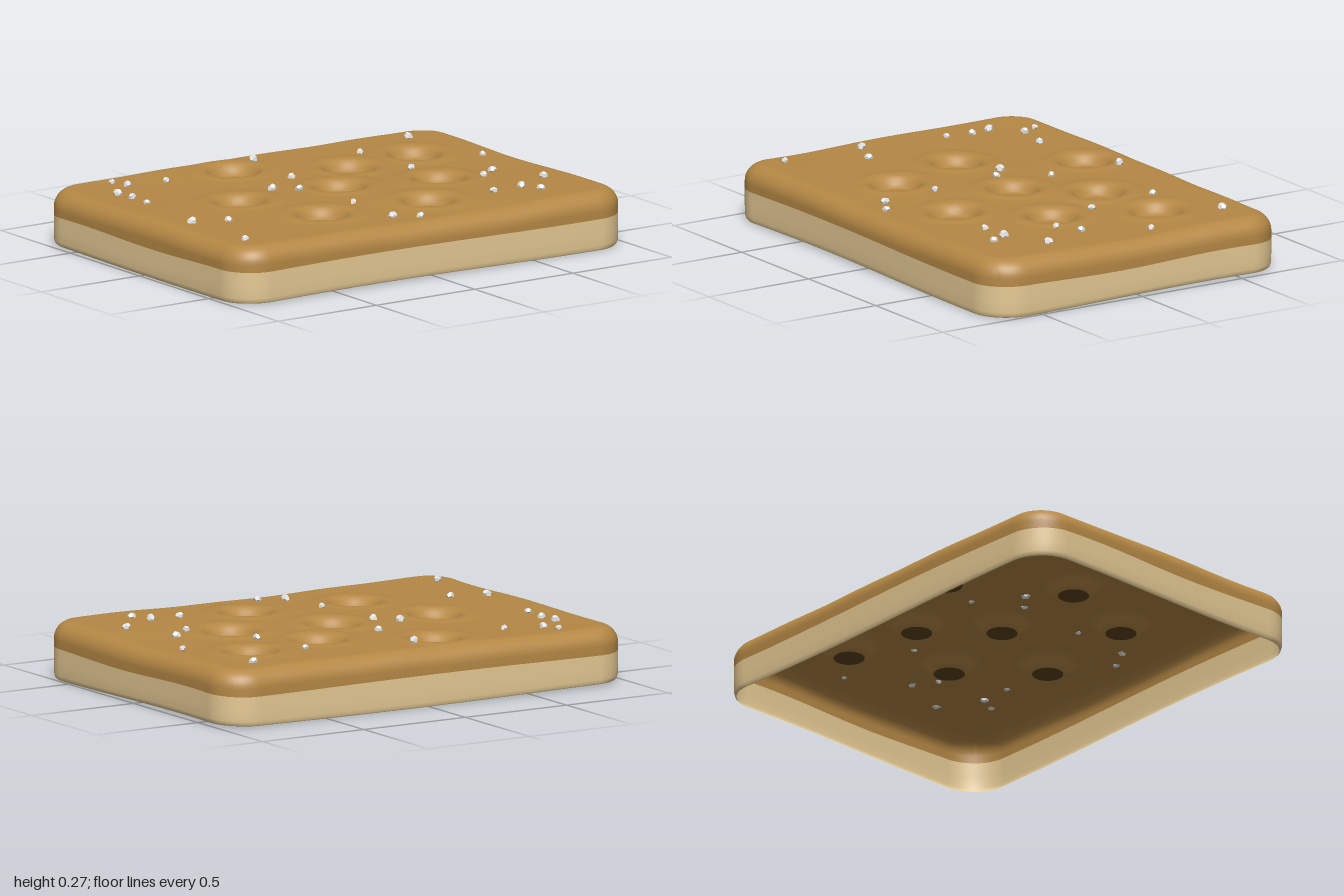
import * as THREE from 'three';

const W = 0.995, D = 0.73;        // half width and half depth
const CORNER = 0.16, ROUND = 0.075; // plan corner radius, top edge radius
const NX = 200, NZ = 148;
const DISC = 0.065, DEPTH = 0.045; // dimple floor radius and depth

const dimples = [
  [-0.165, -0.495], [0.265, -0.28], [0.63, -0.33], [-0.455, -0.04],
  [0.025, -0.01], [0.46, 0.085], [-0.32, 0.355], [0.185, 0.395],
];
const saltSpots = [
  [-0.71, -0.61], [-0.68, -0.54], [-0.51, -0.5], [-0.8, -0.44], [-0.79, -0.35], [-0.8, -0.23],
  [-0.02, -0.57], [-0.05, -0.25], [-0.24, -0.12], [-0.155, -0.045], [0.43, -0.435], [0.765, -0.56],
  [0.46, -0.11], [0.85, -0.145], [0.715, 0.115], [0.625, 0.18], [-0.85, 0.165], [-0.705, 0.225],
  [-0.115, 0.29], [0.815, 0.345], [0.49, 0.445], [0.63, 0.445], [0.675, 0.525], [-0.85, 0.55],
  [-0.1, 0.55], [0, 0.61],
];

const clamp = THREE.MathUtils.clamp;
const smooth = THREE.MathUtils.smoothstep;

// Gently uneven baked surface
const wave = (x, z) => 0.24
  + 0.004 * Math.sin(4.3 * x + 1.2) * Math.cos(3.1 * z + 0.4)
  + 0.003 * Math.sin(7 * z - 2 * x) + 0.0012 * Math.sin(13 * x + 9 * z);

function topHeight(x, z) {
  let y = wave(x, z);
  for (const [cx, cz] of dimples) {
    const r = Math.hypot(x - cx, z - cz);
    if (r > 0.3) continue;
    y -= DEPTH * (1 - smooth(r, DISC - 0.003, 0.125));
    y += 0.005 * Math.exp(-(((r - 0.155) / 0.03) ** 2));
  }
  return y;
}

// Slightly wobbly outline
const wobble = (x, z) => [x + 0.005 * Math.sin(4 * z), z - 0.007 * Math.cos(2.9 * (x + 0.5))];

// Square grid point -> point of a rounded slab with a rolled-over edge
function slabPoint(u, v) {
  let x = u * W, z = v * D, drop = 0;
  const qx = clamp(x, CORNER - W, W - CORNER), qz = clamp(z, CORNER - D, D - CORNER);
  let dx = x - qx, dz = z - qz;
  if (dx || dz) {
    const len = Math.max(Math.abs(dx), Math.abs(dz));
    const k = len / Math.hypot(dx, dz);
    dx *= k; dz *= k;
    const edge = CORNER - len;
    let reach = len;
    if (edge < ROUND) {
      const a = edge / ROUND * Math.PI / 2;
      reach = CORNER - ROUND * (1 - Math.cos(a));
      drop = ROUND * (1 - Math.sin(a));
    }
    x = qx + dx * reach / len;
    z = qz + dz * reach / len;
  }
  // pull nearby points onto each dimple's floor circle
  for (const [cx, cz] of dimples) {
    const r = Math.hypot(x - cx, z - cz);
    if (Math.abs(r - DISC) < 0.005) {
      x = cx + (x - cx) * DISC / r;
      z = cz + (z - cz) * DISC / r;
    }
  }
  const y = topHeight(x, z) - drop;
  const [wx, wz] = wobble(x, z);
  return [wx, y, wz];
}

function surface(positions, index) {
  const g = new THREE.BufferGeometry();
  g.setAttribute('position', new THREE.Float32BufferAttribute(positions, 3));
  g.setIndex(index);
  g.computeVertexNormals();
  return g;
}

// Joins two closed loops, given by vertex indices, upper first
function band(index, upper, lower) {
  const n = upper.length;
  for (let k = 0; k < n; k++) {
    const m = (k + 1) % n;
    index.push(upper[k], lower[k], upper[m], upper[m], lower[k], lower[m]);
  }
}

export function createModel() {
  const model = new THREE.Group();
  const crust = new THREE.MeshStandardMaterial({ color: 0xb58845, side: THREE.DoubleSide });
  crust.name = 'golden crust';
  const dough = new THREE.MeshStandardMaterial({ color: 0xe6ca94, side: THREE.DoubleSide });
  dough.name = 'pale dough';
  const toasted = new THREE.MeshStandardMaterial({ color: 0x5c4219 });
  toasted.name = 'dark toasted';
  const white = new THREE.MeshStandardMaterial({ color: 0xececec, flatShading: true });
  white.name = 'salt white';

  const add = (name, geometry, material, parent = model) => {
    const mesh = new THREE.Mesh(geometry, material);
    mesh.name = name;
    parent.add(mesh);
    return mesh;
  };

  // Crust: top grid with dimples
  const pos = [], idx = [];
  const id = (i, j) => j * (NX + 1) + i;
  for (let j = 0; j <= NZ; j++)
    for (let i = 0; i <= NX; i++) pos.push(...slabPoint(2 * i / NX - 1, 2 * j / NZ - 1));
  for (let j = 0; j < NZ; j++)
    for (let i = 0; i < NX; i++) {
      const a = id(i, j), b = id(i + 1, j), c = id(i, j + 1), d = id(i + 1, j + 1);
      idx.push(a, c, b, b, c, d);
    }

  // Rim loop around the grid, then the crust's side band
  const rim = [];
  for (let i = 0; i < NX; i++) rim.push(id(i, NZ));
  for (let j = NZ; j > 0; j--) rim.push(id(NX, j));
  for (let i = NX; i > 0; i--) rim.push(id(i, 0));
  for (let j = 0; j < NZ; j++) rim.push(id(0, j));
  const outline = rim.map((k) => [pos[3 * k], pos[3 * k + 2]]);
  const seamY = (x, z) => 0.135 + 0.004 * Math.sin(3 * x + 2.2) - 0.005 * Math.cos(6 * (z - 0.1));
  const first = pos.length / 3;
  for (const [x, z] of outline) pos.push(x, seamY(x, z), z);
  band(idx, rim, rim.map((_, k) => first + k));
  add('crust', surface(pos, idx), crust);

  // Pale side wall, open underneath and tucked in a little at the foot
  const wallPos = [], wallIdx = [], n = outline.length;
  const rows = [[1, 1], [0.5, 1], [0.16, 0.999], [0.04, 0.995], [0, 0.99]];
  rows.forEach(([t, inset], row) => {
    for (const [x, z] of outline) {
      const foot = 0.005 + 0.005 * Math.sin(2.5 * x + 3 * z);
      wallPos.push(x * inset, foot + (seamY(x, z) - foot) * t, z * inset);
    }
    if (row) band(wallIdx, outline.map((_, k) => (row - 1) * n + k), outline.map((_, k) => row * n + k));
  });
  add('sideWall', surface(wallPos, wallIdx), dough);

  // Dimple floors, with a dark underside
  const floorGeo = new THREE.CircleGeometry(DISC - 0.001, 32).rotateX(-Math.PI / 2);
  const underGeo = new THREE.CircleGeometry(DISC, 32).rotateX(Math.PI / 2);
  for (const [cx, cz] of dimples) {
    const [x, z] = wobble(cx, cz);
    const y = topHeight(cx, cz);
    add('dimpleFloor', floorGeo, crust).position.set(x, y + 0.003, z);
    add('dimpleUnderside', underGeo, toasted).position.set(x, y - 0.004, z);
  }

  // Salt grains
  const salt = new THREE.Group();
  salt.name = 'salt';
  model.add(salt);
  const grain = new THREE.DodecahedronGeometry(1, 0);
  saltSpots.forEach(([x, z], k) => {
    const s = 0.014 + 0.007 * ((k * 0.618) % 1);
    const mesh = add('saltGrain', grain, white, salt);
    mesh.position.set(x, topHeight(x, z) + 0.006, z);
    mesh.scale.set(s, s * 0.85, s * 1.1);
    mesh.rotation.set(k * 1.3, k * 2.1, k * 0.7);
  });
  return model;
}
